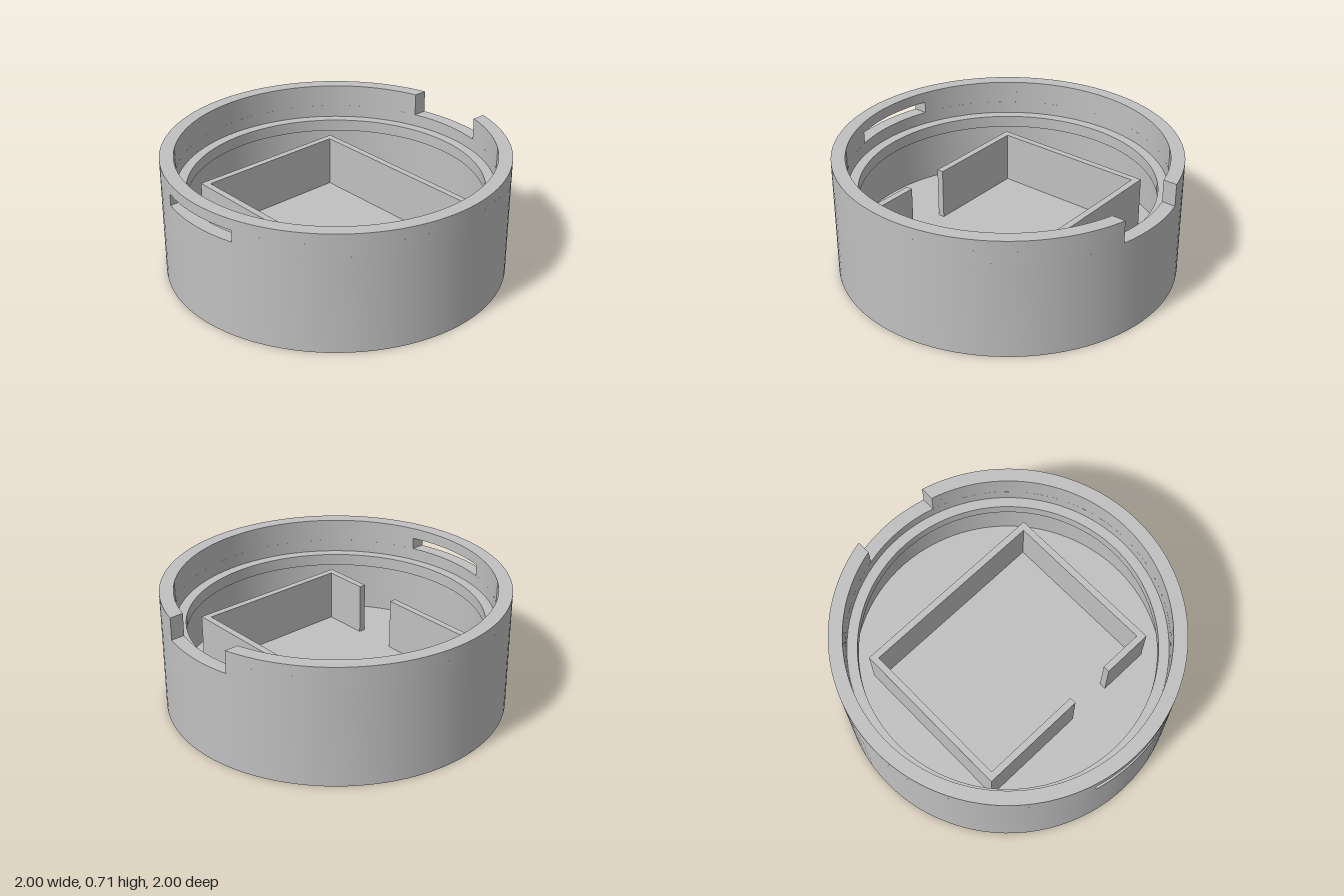
import * as THREE from 'three';
import { toCreasedNormals } from 'three/addons/utils/BufferGeometryUtils.js';

const TOP = 0.715, CUT = 0.58, SLOT_TOP = 0.65, FLOOR = 0.116;
const R = 1, BORE = 0.92, LIP = 0.86;
const NOTCH = 0.245, SLOT = 0.27; // half widths of the rim openings

export function createModel() {
  const group = new THREE.Group();
  const grey = new THREE.MeshStandardMaterial({ color: 0xc0c0c0 });
  grey.name = 'light grey';

  const add = (name, geometry, y = 0, x = 0, z = 0) => {
    const mesh = new THREE.Mesh(geometry, grey);
    mesh.name = name;
    mesh.position.set(x, y, z);
    group.add(mesh);
    return mesh;
  };
  // Extrude a plan shape upwards (shape y becomes -z)
  const extrudeUp = (shape, height, curveSegments = 1) =>
    toCreasedNormals(new THREE.ExtrudeGeometry(shape, { depth: height, bevelEnabled: false, curveSegments })
      .rotateX(-Math.PI / 2), 0.5);

  // Cup wall with inner lip, and floor, as one turned profile
  const profile = [
    [R, 0], [R, CUT], [BORE, CUT], [BORE, 0.505], [LIP, 0.505],
    [LIP, 0.433], [BORE, 0.433], [BORE, FLOOR], [0, FLOOR],
  ].map(([x, y]) => new THREE.Vector2(x, y));
  add('cup', toCreasedNormals(new THREE.LatheGeometry(profile, 96), 0.5));

  // Rim bands, with ends cut parallel to x
  const band = (start, end, height, segments) => {
    const shape = new THREE.Shape();
    shape.absarc(0, 0, R, start(R), end(R), false);
    shape.absarc(0, 0, BORE, end(BORE), start(BORE), true);
    return extrudeUp(shape, height, segments);
  };
  const notchStart = r => Math.asin(NOTCH / r);
  const notchEnd = r => 2 * Math.PI - Math.asin(NOTCH / r);
  const slotStart = r => Math.PI - Math.asin(SLOT / r);
  const slotEnd = r => Math.PI + Math.asin(SLOT / r);
  add('backRim', band(notchStart, slotStart, SLOT_TOP - CUT, 48), CUT);
  add('frontRim', band(slotEnd, notchEnd, SLOT_TOP - CUT, 48), CUT);
  add('upperRim', band(notchStart, notchEnd, TOP - SLOT_TOP, 96), SLOT_TOP);

  // Rectangular compartment with a gap in its -x wall
  const walls = new THREE.Shape([
    [-0.51, -0.04], [-0.47, -0.04], [-0.47, 0.582], [0.468, 0.582], [0.468, -0.582], [-0.47, -0.582],
    [-0.47, -0.31], [-0.51, -0.31], [-0.51, -0.622], [0.508, -0.622], [0.508, 0.622], [-0.51, 0.622],
  ].map(([x, y]) => new THREE.Vector2(x, y)));
  add('compartmentWalls', extrudeUp(walls, 0.427 - FLOOR), FLOOR);

  // Underside with three blind round pockets
  const POCKET_R = 0.14, POCKET_D = 0.08;
  const pockets = [[0.502, 0.187], [-0.502, 0.187], [0, -0.535]];
  const underside = new THREE.Shape();
  underside.absarc(0, 0, R, 0, 2 * Math.PI, false);
  for (const [x, z] of pockets) {
    const hole = new THREE.Path();
    hole.absarc(x, z, POCKET_R, 0, 2 * Math.PI, true);
    underside.holes.push(hole);

    // Pocket side, turned downwards so that it faces inwards
    const side = [new THREE.Vector2(POCKET_R, POCKET_D), new THREE.Vector2(POCKET_R, 0)];
    add('pocketSide', new THREE.LatheGeometry(side, 40), 0, x, z);
    add('pocketCeiling', new THREE.CircleGeometry(POCKET_R, 40).rotateX(Math.PI / 2), POCKET_D, x, z);
  }
  add('underside', new THREE.ShapeGeometry(underside, 96).rotateX(Math.PI / 2));

  return group;
}
